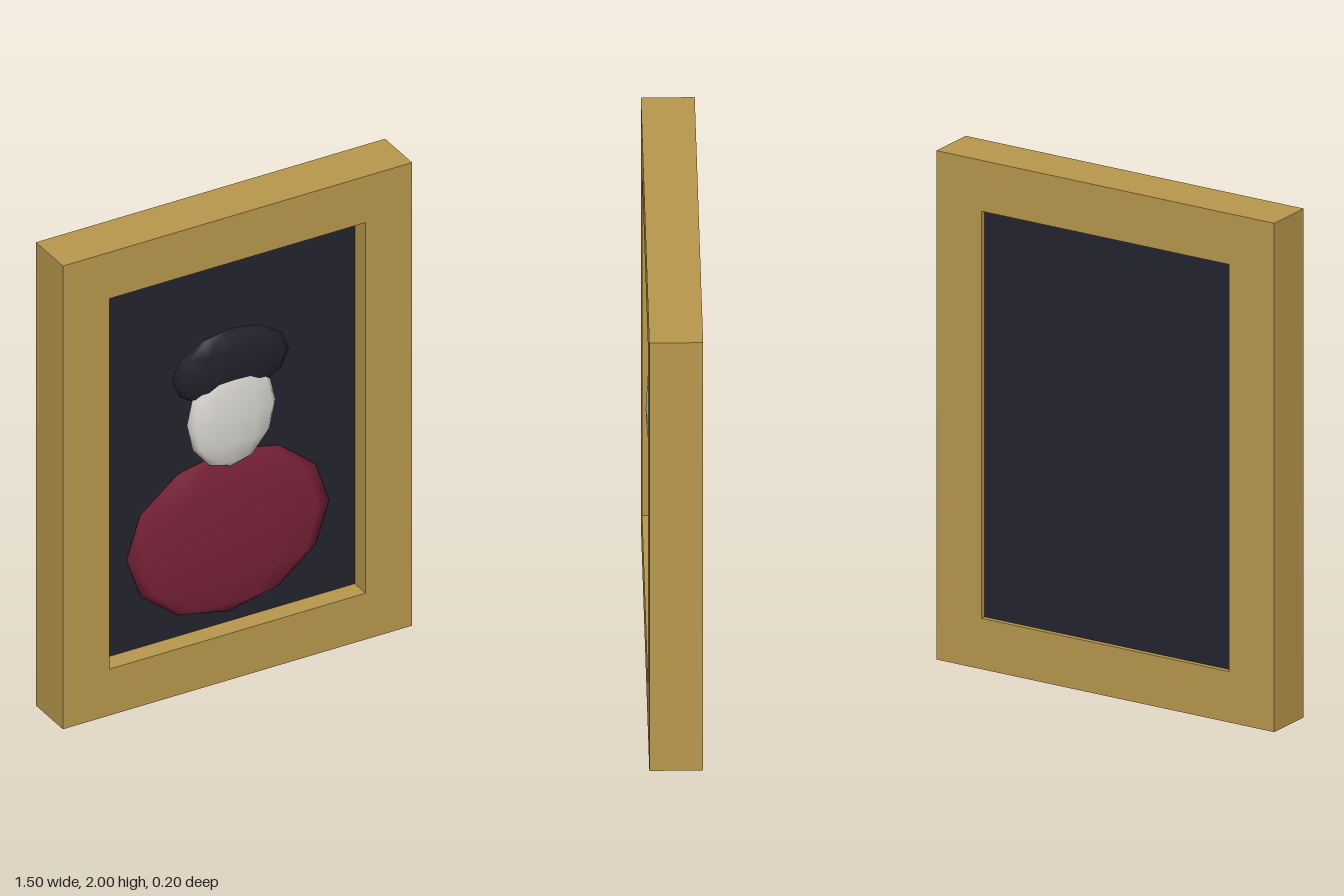
import * as THREE from 'three';

const mat = (name, color) => {
  const m = new THREE.MeshStandardMaterial({ color });
  m.name = name;
  return m;
};

export function createModel() {
  const gold = mat('gold', 0xb8984c);
  const dark = mat('dark canvas', 0x23242f);
  const black = mat('black hair', 0x21212b);
  const pale = mat('pale skin', 0xdad8d0);
  const red = mat('dark red cloth', 0x7a2238);

  const group = new THREE.Group();
  group.name = 'framedPortrait';
  const add = (name, geometry, material, x, y, z) => {
    const mesh = new THREE.Mesh(geometry, material);
    mesh.name = name;
    mesh.position.set(x, y, z);
    group.add(mesh);
    return mesh;
  };

  // Frame: a rectangle with a rectangular opening
  const outline = new THREE.Shape();
  outline.moveTo(-0.75, 0).lineTo(0.75, 0).lineTo(0.75, 2).lineTo(-0.75, 2).closePath();
  const opening = new THREE.Path();
  opening.moveTo(-0.55, 0.2).lineTo(-0.55, 1.8).lineTo(0.55, 1.8).lineTo(0.55, 0.2).closePath();
  outline.holes.push(opening);
  add('frame', new THREE.ExtrudeGeometry(outline, { depth: 0.2, bevelEnabled: false }), gold, 0, 0, -0.1);

  // Canvas, set back from both faces of the frame
  add('canvas', new THREE.BoxGeometry(1.1, 1.6, 0.1), dark, 0, 1, -0.03);

  // Portrait in relief: flattened low-poly spheres
  const relief = (name, material, y, z, rx, ry, rz) =>
    add(name, new THREE.SphereGeometry(1, 12, 6).scale(rx, ry, rz), material, 0, y, z);
  relief('torso', red, 0.6, 0.028, 0.435, 0.35, 0.04);
  relief('head', pale, 1.12, 0.053, 0.19, 0.23, 0.045);
  relief('hair', black, 1.325, 0.047, 0.252, 0.155, 0.04);

  return group;
}
